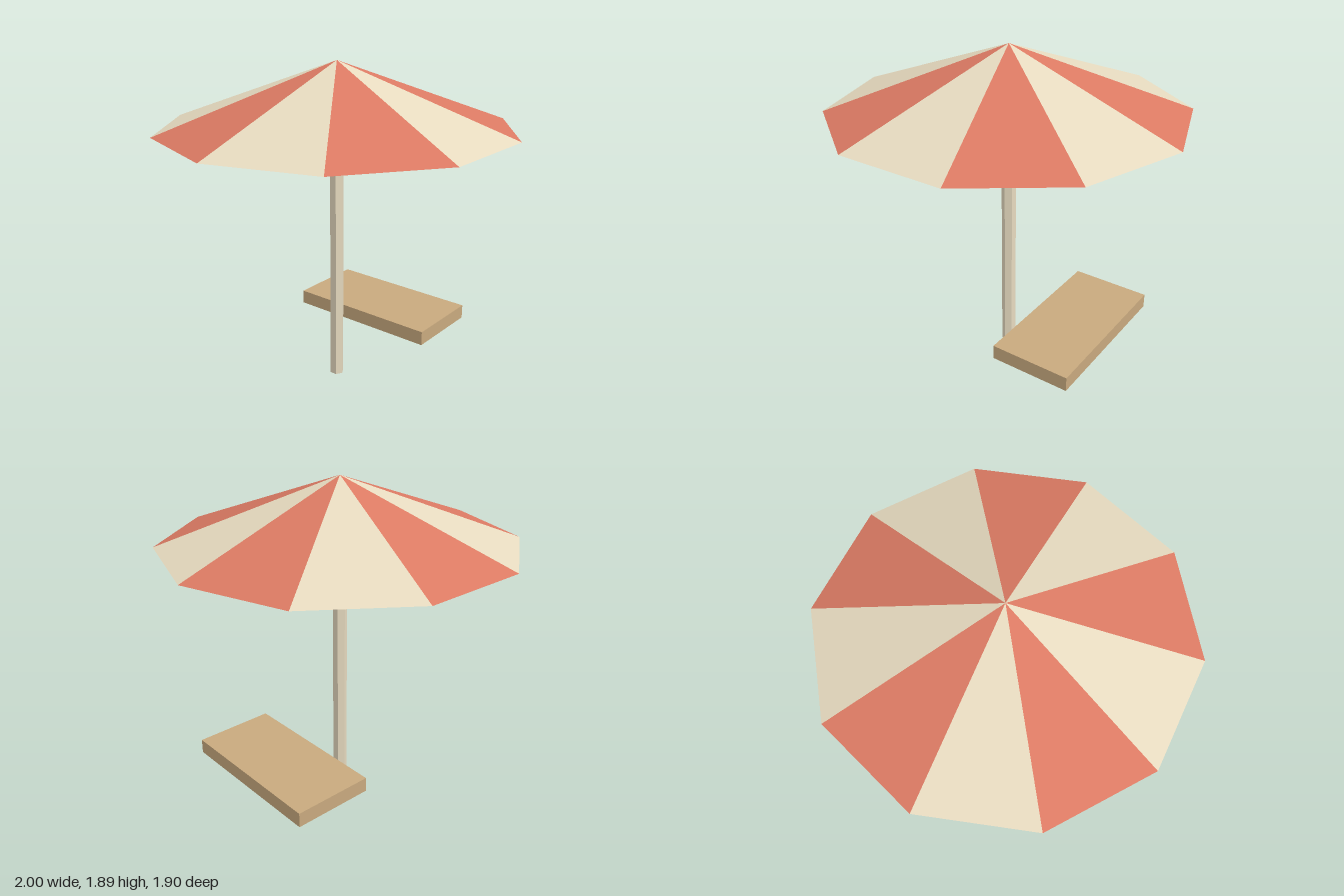
import * as THREE from 'three';

const cream = new THREE.MeshStandardMaterial({ name: 'cream', color: 0xe6dabf, flatShading: true, side: THREE.DoubleSide });
const coral = new THREE.MeshStandardMaterial({ name: 'coral red', color: 0xdb7a63, flatShading: true, side: THREE.DoubleSide });
const wood = new THREE.MeshStandardMaterial({ name: 'light wood', color: 0xc8a97e, flatShading: true });

const PANELS = 10, RADIUS = 1, RIM_Y = 1.525, APEX_Y = 1.89;

// One triangular cloth panel between two ribs
function canopyPanel(i) {
  const rim = (k) => {
    const a = (k / PANELS) * Math.PI * 2;
    return new THREE.Vector3(Math.cos(a) * RADIUS, RIM_Y, Math.sin(a) * RADIUS);
  };
  const geometry = new THREE.BufferGeometry().setFromPoints([
    new THREE.Vector3(0, APEX_Y, 0), rim(i + 1), rim(i),
  ]);
  geometry.computeVertexNormals();
  const panel = new THREE.Mesh(geometry, i % 2 ? coral : cream);
  panel.name = 'canopyPanel' + (i + 1);
  return panel;
}

export function createModel() {
  const model = new THREE.Group();
  model.name = 'parasolWithBench';

  // Striped canopy, open underneath
  const canopy = new THREE.Group();
  canopy.name = 'canopy';
  for (let i = 0; i < PANELS; i++) canopy.add(canopyPanel(i));
  model.add(canopy);

  // Six-sided pole, ending just below the peak
  const poleHeight = 1.85;
  const pole = new THREE.Mesh(new THREE.CylinderGeometry(0.041, 0.041, poleHeight, 6), cream);
  pole.name = 'pole';
  pole.position.y = poleHeight / 2;
  model.add(pole);

  // Bench board beside the pole
  const bench = new THREE.Mesh(new THREE.BoxGeometry(0.47, 0.085, 0.93), wood);
  bench.name = 'benchBoard';
  bench.position.set(0.455, 0.288, 0);
  model.add(bench);

  return model;
}
